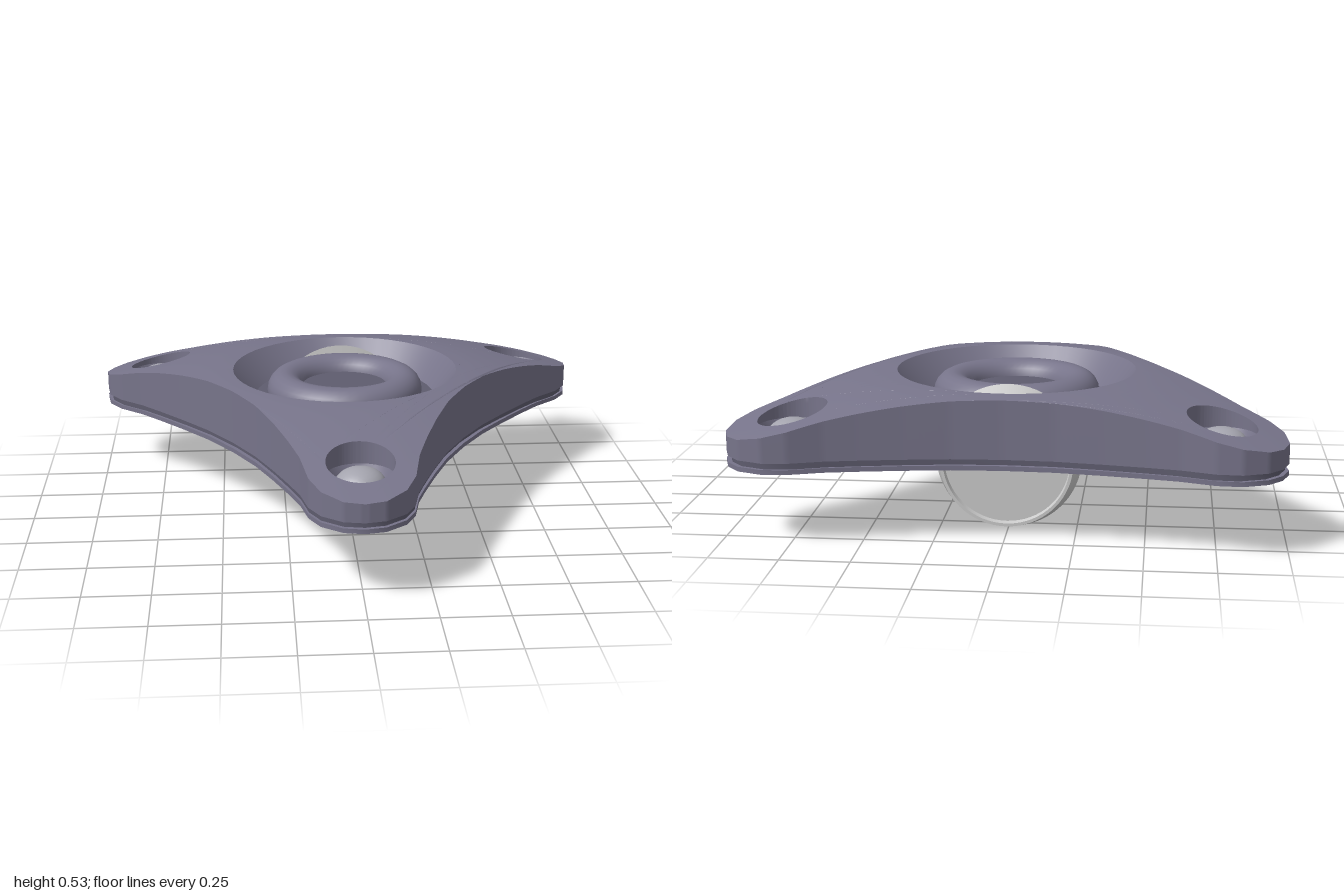
import * as THREE from 'three';
import { toCreasedNormals } from 'three/addons/utils/BufferGeometryUtils.js';

const HUB_Z = -0.235;
const bodyMat = new THREE.MeshStandardMaterial({ color: 0x77748a });
const darkMat = new THREE.MeshStandardMaterial({ color: 0x5e5c6e });
const studMat = new THREE.MeshStandardMaterial({ color: 0xa4a4ae });
const greyMat = new THREE.MeshStandardMaterial({ color: 0xcccccc });

// Half of one arm: [sideways, distance from hub], tip to waist
const HALF_ARM = [[0, 1.12], [0.075, 1.105], [0.15, 1.045], [0.19, 0.965], [0.215, 0.84],
  [0.25, 0.735], [0.305, 0.585], [0.37, 0.425], [0.455, 0.2627]];

// Three-armed outline around the hub, first arm towards the front
function outline(inset = 0) {
  const arm = [...HALF_ARM.slice(1).reverse().map(([x, d]) => [-x, d]), ...HALF_ARM.slice(0, -1)];
  const pts = [];
  for (let i = 0; i < 3; i++) {
    const a = (i * Math.PI * 2) / 3;
    for (const [x, d] of arm) {
      const p = new THREE.Vector2(x, -d).multiplyScalar(1 - inset / Math.hypot(x, d));
      pts.push(p.rotateAround(new THREE.Vector2(), a));
    }
  }
  return new THREE.Shape(pts);
}

// Crown of the top surface by distance from the hub
const crown = (r) => 0.53 - 0.15 * Math.pow(Math.max(0, (r - 0.45) / 0.67), 1.4);

// Split every triangle into four
function subdivide(p) {
  const out = [];
  for (let i = 0; i < p.length; i += 9) {
    const [a, b, c] = [0, 3, 6].map((k) => [p[i + k], p[i + k + 1], p[i + k + 2]]);
    const mid = (u, v) => u.map((n, k) => (n + v[k]) / 2);
    const ab = mid(a, b), bc = mid(b, c), ca = mid(c, a);
    for (const v of [a, ab, ca, ab, b, bc, ca, bc, c, ab, bc, ca]) out.push(v[0], v[1], v[2]);
  }
  return out;
}

const armPoint = (i, d) => {
  const a = (i * Math.PI * 2) / 3;
  return [Math.sin(a) * d, Math.cos(a) * d];
};

// Crowned shell with the bowl opening and stud holes cut through
function shellGeometry() {
  const shape = outline();
  const hole = (x, z, r) => shape.holes.push(new THREE.Path().absarc(x, -z, r, 0, Math.PI * 2, true));
  hole(0, 0, 0.45);
  for (let i = 0; i < 3; i++) hole(...armPoint(i, 0.88), 0.125);
  const geo = new THREE.ExtrudeGeometry(shape, { depth: 1, bevelEnabled: false, curveSegments: 24 });
  geo.rotateX(-Math.PI / 2);
  let p = Array.from(geo.attributes.position.array);
  for (let n = 0; n < 3; n++) p = subdivide(p);
  for (let i = 0; i < p.length; i += 3) {
    p[i + 1] = THREE.MathUtils.lerp(0.31, crown(Math.hypot(p[i], p[i + 2])), p[i + 1]);
  }
  const result = new THREE.BufferGeometry();
  result.setAttribute('position', new THREE.Float32BufferAttribute(p, 3));
  return toCreasedNormals(result, 0.6);
}

function slab(inset, y0, y1) {
  const geo = new THREE.ExtrudeGeometry(outline(inset), { depth: y1 - y0, bevelEnabled: false });
  geo.rotateX(-Math.PI / 2).translate(0, y0, 0);
  return toCreasedNormals(geo, 0.6);
}

// Sharp-edged turned part; points run [radius, height] upwards on the outside
function turned(points, segments = 48) {
  const geo = new THREE.LatheGeometry(points.map(([r, y]) => new THREE.Vector2(r, y)), segments);
  return toCreasedNormals(geo, 0.5);
}

export function createModel() {
  const model = new THREE.Group();
  model.name = 'threeArmedBase';
  const hub = new THREE.Group();
  hub.name = 'body';
  hub.position.z = HUB_Z;
  model.add(hub);

  const add = (parent, name, geo, mat) => {
    const mesh = new THREE.Mesh(geo, mat);
    mesh.name = name;
    parent.add(mesh);
    return mesh;
  };

  // Layered body: bottom plate, recessed seam, crowned shell
  add(hub, 'bottomPlate', slab(0, 0.27, 0.287), bodyMat);
  add(hub, 'seam', slab(0.016, 0.287, 0.31), darkMat);
  add(hub, 'shell', shellGeometry(), bodyMat);

  // Bowl with a raised ring and a centre disc
  add(hub, 'bowlWall', turned([[0.45, 0.53], [0.36, 0.42]]), bodyMat);
  const floor = new THREE.RingGeometry(0.2, 0.362, 48).rotateX(-Math.PI / 2);
  add(hub, 'bowlFloor', floor, darkMat).position.y = 0.42;
  const ring = new THREE.TorusGeometry(0.24, 0.073, 20, 48).rotateX(-Math.PI / 2);
  add(hub, 'ring', ring, bodyMat).position.y = 0.445;
  const disc = new THREE.CircleGeometry(0.19, 40).rotateX(-Math.PI / 2);
  add(hub, 'centreDisc', disc, darkMat).position.y = 0.46;

  // Domed stud in a shallow seat on each arm
  for (let i = 0; i < 3; i++) {
    const stud = new THREE.Group();
    stud.name = 'armStud' + (i + 1);
    const [x, z] = armPoint(i, 0.88);
    stud.position.set(x, 0.365, z);
    hub.add(stud);
    add(stud, 'seat', turned([[0.125, 0.03], [0.112, 0], [0, 0]], 24), bodyMat);
    const dome = new THREE.SphereGeometry(0.092, 24, 8, 0, Math.PI * 2, 0, Math.PI / 2);
    add(stud, 'dome', dome.scale(1, 0.65, 1), studMat);
  }

  // Flanged roller with a dished back, set through the body, axis front to back
  const roller = turned([[0, -0.612], [0.226, -0.612], [0.23, -0.632], [0.241, -0.632],
    [0.267, -0.543], [0.175, -0.53], [0.171, -0.45], [0.16, -0.42], [0, -0.42]], 64);
  roller.rotateX(Math.PI / 2);
  add(model, 'roller', roller, greyMat).position.y = 0.267;

  return model;
}
